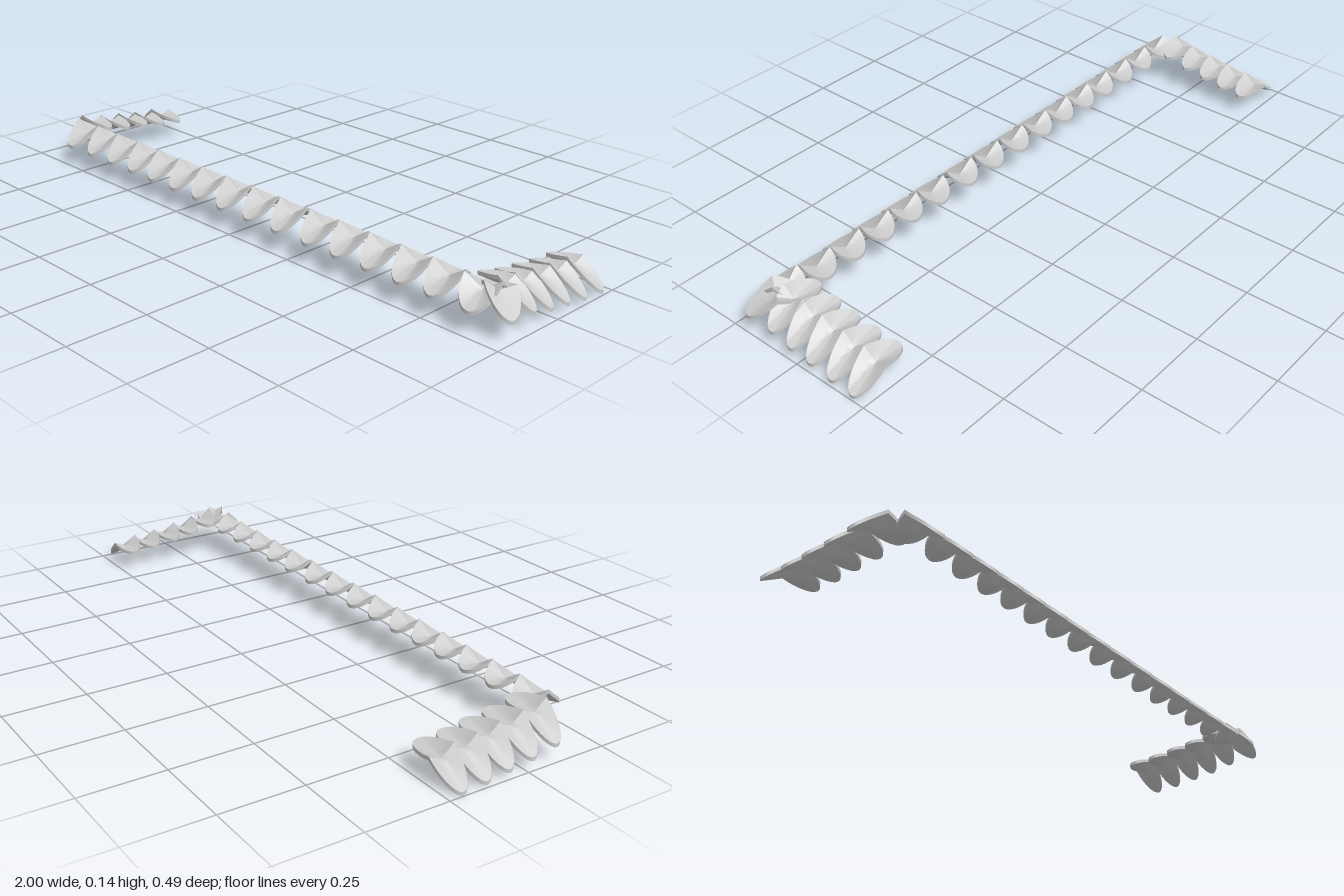
import * as THREE from 'three';
import { toCreasedNormals } from 'three/addons/utils/BufferGeometryUtils.js';

const RINGS = 5, SEGS = 28, THICK = 0.011;

// Oval tile folded over a ridge along local x; the ridge dips in a V that rounds out into the flaps.
// front / back: flap lengths along z, with their drops; tilt: slope along the ridge.
function tileGeometry({ half, front, back, frontDrop, backDrop, dip, tilt = 0 }) {
  const pos = [], index = [];
  const row = SEGS, layer = (RINGS + 1) * row;
  for (const offset of [0, -THICK]) {
    for (let i = 0; i <= RINGS; i++) {
      for (let j = 0; j < SEGS; j++) {
        const r = i / RINGS, t = (j / SEGS) * Math.PI * 2;
        const u = r * Math.cos(t), v = r * Math.sin(t), w = Math.abs(v);
        const x = u * half, z = v * (v > 0 ? front : back);
        const drop = v > 0 ? frontDrop : backDrop;
        const fold = u * u / (Math.abs(u) + 1.2 * w + 1e-6);
        const y = dip * fold - drop * w + tilt * x;
        pos.push(x, y + offset, z);
      }
    }
  }
  for (let j = 0; j < SEGS; j++) {
    const k = (j + 1) % SEGS;
    for (let i = 0; i < RINGS; i++) {
      const a = i * row + j, b = i * row + k, c = a + row, d = b + row;
      index.push(a, d, c, a + layer, c + layer, d + layer);
      if (i > 0) index.push(a, b, d, a + layer, d + layer, b + layer);
    }
    // rim
    const p = RINGS * row + j, q = RINGS * row + k;
    index.push(p, q, q + layer, p, q + layer, p + layer);
  }
  const g = new THREE.BufferGeometry();
  g.setAttribute('position', new THREE.Float32BufferAttribute(pos, 3));
  g.setIndex(index);
  return toCreasedNormals(g, 0.55);
}

export function createModel() {
  const model = new THREE.Group();
  const material = new THREE.MeshStandardMaterial({ color: 0xcccccc });

  function addTile(parent, name, geometry, x, y, z, turn = 0) {
    const tile = new THREE.Mesh(geometry, material);
    tile.name = name;
    tile.position.set(x, y, z);
    tile.rotation.y = turn;
    parent.add(tile);
  }

  // front row, its last tile slightly turned
  const frontRow = new THREE.Group();
  frontRow.name = 'frontRow';
  const frontTile = tileGeometry({
    half: 0.054, front: 0.078, back: 0.057, frontDrop: 0.032, backDrop: 0.004, dip: 0.035,
  });
  const frontX = [-0.825, -0.712, -0.6, -0.49, -0.385, -0.275, -0.165, -0.05,
    0.07, 0.19, 0.315, 0.43, 0.545, 0.66, 0.77];
  for (const x of frontX) addTile(frontRow, 'frontTile', frontTile, x, 0.1, 0.165);
  addTile(frontRow, 'frontTile', frontTile, 0.88, 0.1, 0.165, 0.2);
  model.add(frontRow);

  // side rows, stepping down towards the back
  const sideY = [0.103, 0.087, 0.077, 0.066, 0.06];
  const rows = [
    { name: 'leftRow', side: 1, sink: 0, back: 0.09, z: [0.1, 0.027, -0.047, -0.125, -0.203] },
    { name: 'rightRow', side: -1, sink: 0.003, back: 0.105, z: [0.095, 0.018, -0.058, -0.13, -0.205] },
  ];
  for (const { name, side, sink, back, z } of rows) {
    const sideRow = new THREE.Group();
    sideRow.name = name;
    const sideTile = tileGeometry({
      half: 0.039, front: 0.093, back, frontDrop: 0.047, backDrop: -0.006,
      dip: 0.025, tilt: -side * 0.22,
    });
    z.forEach((tileZ, i) =>
      addTile(sideRow, 'sideTile', sideTile, side * 0.905, sideY[i] - sink, tileZ, side * Math.PI / 2));
    model.add(sideRow);
  }

  // turned tile closing the corner
  const cornerTile = tileGeometry({
    half: 0.045, front: 0.085, back: 0.07, frontDrop: 0.045, backDrop: 0.005, dip: 0.02, tilt: -0.2,
  });
  addTile(model, 'cornerTile', cornerTile, 0.925, 0.108, 0.152, 1.0);

  return model;
}
